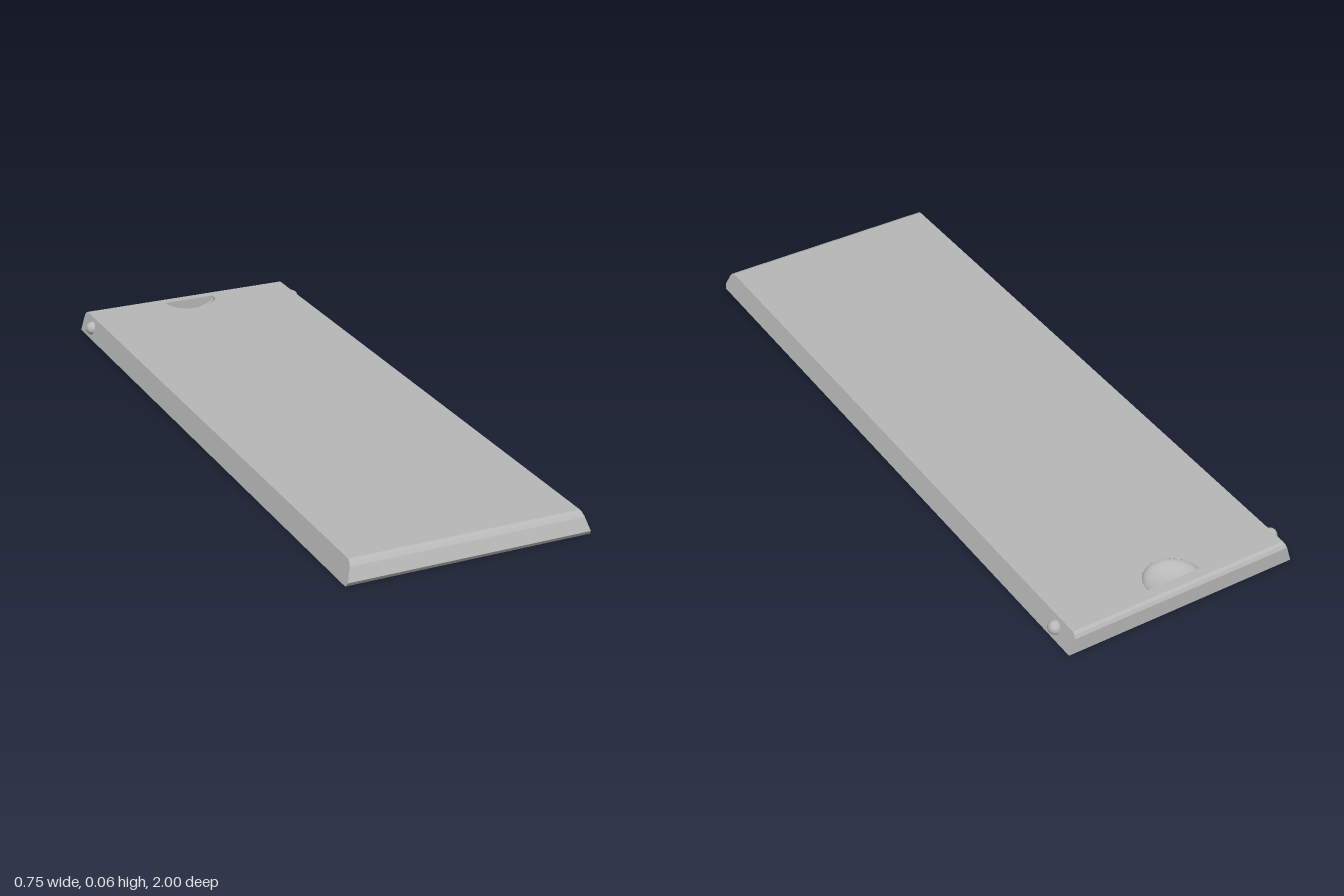
import * as THREE from 'three';

const H = 0.064;                 // cover thickness
const POCKET = 0.045;            // depth of hexagonal pockets
const halfWidth = (y) => 0.363 - 0.02 * (y / H);

// front bottom -> front top -> back top -> back bottom, as [z, y]
const PROFILE = [
  [0.992, 0], [1, 0.012], [0.985, 0.05], [0.978, 0.059], [0.966, H],
  [-0.985, H], [-0.995, 0.06], [-1, 0.05], [-1, 0],
];
const TOP_START = 4;             // profile segment replaced by the top panel

const SCOOP = { r: 0.085, depth: 0.035, z: -0.955 };

function fromTriangles(points) {
  const g = new THREE.BufferGeometry();
  g.setAttribute('position', new THREE.Float32BufferAttribute(points.flat(), 3));
  g.computeVertexNormals();
  return g;
}

const quad = (a, b, c, d) => [a, b, c, a, c, d];

// Keep the part of a polygon where sign * p[axis] <= limit
function clip(poly, axis, sign, limit) {
  const out = [];
  poly.forEach((p, i) => {
    const q = poly[(i + 1) % poly.length];
    const dp = limit - sign * p[axis], dq = limit - sign * q[axis];
    if (dp >= 0) out.push(p);
    if (dp * dq < 0) {
      const t = dp / (dp - dq);
      out.push([p[0] + (q[0] - p[0]) * t, p[1] + (q[1] - p[1]) * t]);
    }
  });
  return out;
}

// Staggered hexagons, trimmed to a rectangle
function pocketOutlines() {
  const list = [];
  for (let row = 0; row < 19; row++) {
    const count = row % 2 ? 5 : 4;
    for (let i = 0; i < count; i++) {
      const cx = (i - (count - 1) / 2) * 0.1133, cz = -0.81 + row * 0.09;
      let hex = [];
      for (let k = 0; k < 6; k++) {
        const a = Math.PI / 6 + (k * Math.PI) / 3;
        hex.push([cx + 0.047 * Math.cos(a), cz + 0.047 * Math.sin(a)]);
      }
      for (const s of [-1, 1]) hex = clip(clip(hex, 0, s, 0.212), 1, s, 0.84);
      list.push(hex);
    }
  }
  return list;
}

const toShape = (poly, Type = THREE.Shape) => new Type(poly.map((p) => new THREE.Vector2(p[0], p[1])));

export function createModel() {
  const group = new THREE.Group();
  const grey = new THREE.MeshStandardMaterial({ color: 0xb8b8b8 });
  grey.name = 'grey plastic';
  const add = (geometry, name) => {
    const mesh = new THREE.Mesh(geometry, grey);
    mesh.name = name;
    group.add(mesh);
    return mesh;
  };

  // Rounded front and back rims
  const rim = [];
  for (let i = 0; i < PROFILE.length - 1; i++) {
    if (i === TOP_START) continue;
    const [z0, y0] = PROFILE[i], [z1, y1] = PROFILE[i + 1];
    const w0 = halfWidth(y0), w1 = halfWidth(y1);
    rim.push(...quad([-w0, y0, z0], [w0, y0, z0], [w1, y1, z1], [-w1, y1, z1]));
  }
  add(fromTriangles(rim), 'endRims');

  // Sloping long sides
  for (const s of [1, -1]) {
    const pts = PROFILE.map(([z, y]) => [s * halfWidth(y), y, z]);
    const tris = [];
    for (let i = 1; i < pts.length - 1; i++) {
      tris.push(pts[0], ...(s > 0 ? [pts[i + 1], pts[i]] : [pts[i], pts[i + 1]]));
    }
    add(fromTriangles(tris), s > 0 ? 'leftSide' : 'rightSide');
  }

  // Top panel with a half-moon opening
  const wt = halfWidth(H), zf = PROFILE[4][0], zb = PROFILE[5][0];
  const top = toShape([[-wt, -zf], [wt, -zf], [wt, -zb], [-wt, -zb]]);
  const opening = new THREE.Path();
  opening.absarc(0, -SCOOP.z, SCOOP.r, Math.PI, 2 * Math.PI, false);
  opening.closePath();
  top.holes.push(opening);
  add(new THREE.ShapeGeometry(top, 24).rotateX(-Math.PI / 2).translate(0, H, 0), 'topPanel');

  // Finger scoop: inward-facing quarter bowl and its flat wall
  const bowl = new THREE.SphereGeometry(SCOOP.r, 24, 10, 0, Math.PI, Math.PI / 2, Math.PI / 2);
  bowl.scale(-1, SCOOP.depth / SCOOP.r, 1);
  // mirrored triangles face inwards, so the normals are recomputed
  bowl.computeVertexNormals();
  add(bowl, 'fingerScoop').position.set(0, H, SCOOP.z);
  const wall = new THREE.Shape();
  wall.absellipse(0, 0, SCOOP.r, SCOOP.depth, Math.PI, 2 * Math.PI, false);
  add(new THREE.ShapeGeometry(wall, 24), 'scoopWall').position.set(0, H, SCOOP.z);

  // Underside with hexagonal pockets
  const outlines = pocketOutlines();
  const wb = halfWidth(0), bf = PROFILE[0][0];
  const bottom = toShape([[-wb, -1], [wb, -1], [wb, bf], [-wb, bf]]);
  bottom.holes = outlines.map((o) => toShape(o, THREE.Path));
  add(new THREE.ShapeGeometry(bottom).rotateX(Math.PI / 2), 'underside');

  const walls = [];
  for (const o of outlines) {
    o.forEach((p, i) => {
      const q = o[(i + 1) % o.length];
      walls.push(...quad([p[0], 0, p[1]], [q[0], 0, q[1]], [q[0], POCKET, q[1]], [p[0], POCKET, p[1]]));
    });
  }
  add(fromTriangles(walls), 'pocketWalls');
  const ceilings = new THREE.ShapeGeometry(outlines.map((o) => toShape(o)));
  add(ceilings.rotateX(Math.PI / 2).translate(0, POCKET, 0), 'pocketCeilings');

  // Snap-in pivot nubs
  for (const s of [1, -1]) {
    add(new THREE.SphereGeometry(0.021, 24, 16), s > 0 ? 'leftNub' : 'rightNub')
      .position.set(s * 0.353, 0.033, -0.917);
  }
  return group;
}
